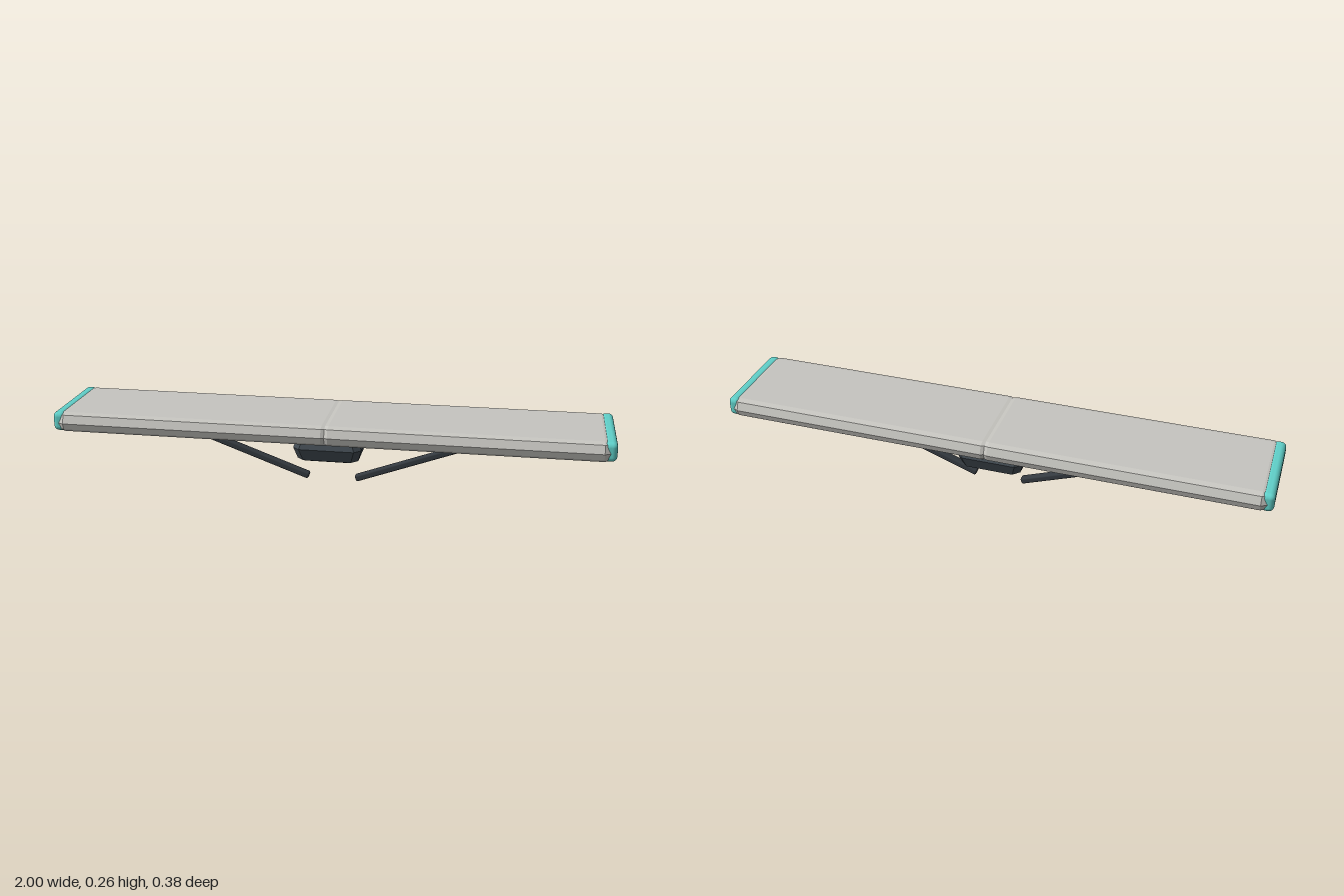
import * as THREE from 'three';
import { RoundedBoxGeometry } from 'three/addons/geometries/RoundedBoxGeometry.js';

const material = (name, color, flatShading = false) => {
  const m = new THREE.MeshStandardMaterial({ color, flatShading });
  m.name = name;
  return m;
};

// Skin closed rings of Vector3 (counter-clockwise seen from the end side) and cap both ends.
function loft(rings) {
  const n = rings[0].length, pos = [], index = [];
  rings.forEach(r => r.forEach(p => pos.push(p.x, p.y, p.z)));
  for (let s = 0; s < rings.length - 1; s++) {
    for (let i = 0; i < n; i++) {
      const a = s * n + i, b = s * n + (i + 1) % n;
      index.push(a, b, b + n, a, b + n, a + n);
    }
  }
  const last = (rings.length - 1) * n;
  for (let i = 1; i < n - 1; i++) {
    index.push(0, i + 1, i, last, last + i, last + i + 1);
  }
  const g = new THREE.BufferGeometry();
  g.setAttribute('position', new THREE.Float32BufferAttribute(pos, 3));
  g.setIndex(index);
  g.computeVertexNormals();
  return g;
}

export function createModel() {
  const model = new THREE.Group();
  model.name = 'wingAssembly';
  const panel = material('lightGrey', 0xc6c5c0, true);
  const teal = material('teal', 0x60d0c9);
  const slate = material('slate', 0x414a51, true);
  const dark = material('darkSlate', 0x343a40);

  const add = (name, geometry, mat) => {
    const mesh = new THREE.Mesh(geometry, mat);
    mesh.name = name;
    model.add(mesh);
    return mesh;
  };

  // Wing edge profile: [z, y], top to bottom on the +z side
  const edge = [[0.155, 0.255], [0.175, 0.248], [0.188, 0.219], [0.18, 0.196], [0.165, 0.185]];
  const profile = [...edge, ...edge.slice().reverse().map(([z, y]) => [-z, y])];
  // The underside stays level while the top is scaled down towards it
  const wingRing = (x, kz, ky) =>
    profile.map(([z, y]) => new THREE.Vector3(x, 0.185 + (y - 0.185) * ky, z * kz));

  for (const side of [1, -1]) {
    const label = side > 0 ? 'left' : 'right';

    // Wing half, slightly drawn in at the centre seam and at the tip
    const stations = [[0, 0.97, 0.98], [0.012, 1, 1], [0.957, 1, 1], [0.985, 0.9, 0.92]];
    if (side < 0) stations.reverse();
    add(label + 'WingPanel', loft(stations.map(([x, kz, ky]) => wingRing(x * side, kz, ky))), panel);

    // Wing tip cap
    const cap = add(label + 'WingTip', new RoundedBoxGeometry(0.045, 0.07, 0.348, 3, 0.018), teal);
    cap.position.set(side * 0.9775, 0.2206, 0);

    // Diagonal strut
    const low = new THREE.Vector2(0.087, 0.008), high = new THREE.Vector2(0.605, 0.196);
    const run = high.clone().sub(low);
    const strut = add(label + 'Strut', new RoundedBoxGeometry(run.length(), 0.024, 0.029, 2, 0.007), dark);
    strut.position.set(side * (low.x + high.x) / 2, (low.y + high.y) / 2, 0);
    strut.rotation.z = side * run.angle();
  }

  // Faceted pod under the centre: [y, half width, half depth, corner cut]
  const layers = [[0.093, 0.085, 0.077, 0.02], [0.11, 0.11, 0.12, 0.024],
    [0.155, 0.123, 0.137, 0.024], [0.2, 0.106, 0.118, 0.022]];
  const podRing = ([y, w, d, c]) => [
    [w, d - c], [w, c - d], [w - c, -d], [c - w, -d],
    [-w, c - d], [-w, d - c], [c - w, d], [w - c, d],
  ].map(([x, z]) => new THREE.Vector3(x, y, z));
  add('centrePod', loft(layers.map(podRing)), slate);

  return model;
}
